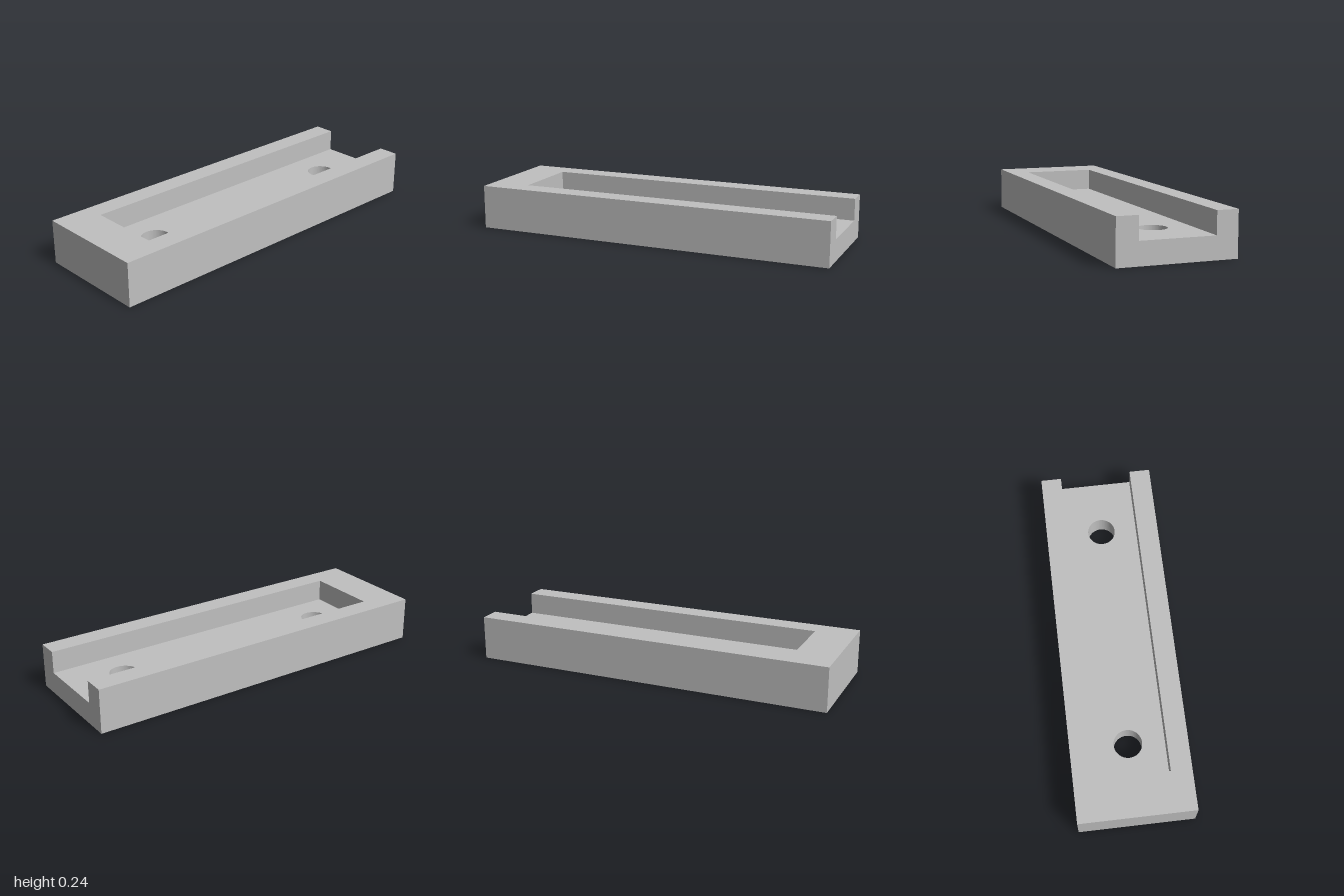
import * as THREE from 'three';

const HALF_L = 1, HALF_W = 0.314, HEIGHT = 0.242;
const FLOOR = 0.121, SLOT_HALF = 0.2, SLOT_END = -0.78;
const HOLE_X = [-0.58, 0.693], HOLE_R = 0.077;

// Extrudes a plan outline upward from height y
function slab(name, shape, y, height, material) {
  const geometry = new THREE.ExtrudeGeometry(shape, { depth: height, bevelEnabled: false, curveSegments: 32 });
  geometry.rotateX(-Math.PI / 2);
  geometry.translate(0, y, 0);
  const mesh = new THREE.Mesh(geometry, material);
  mesh.name = name;
  return mesh;
}

function outline(points) {
  return new THREE.Shape(points.map(([x, y]) => new THREE.Vector2(x, y)));
}

export function createModel() {
  const group = new THREE.Group();
  group.name = 'slottedMountingBlock';
  const grey = new THREE.MeshStandardMaterial({ color: 0xc0c0c0 });
  grey.name = 'light grey';

  // Floor plate with two through holes
  const floor = outline([[-HALF_L, -HALF_W], [HALF_L, -HALF_W], [HALF_L, HALF_W], [-HALF_L, HALF_W]]);
  for (const x of HOLE_X) {
    const hole = new THREE.Path();
    hole.absarc(x, 0, HOLE_R, 0, Math.PI * 2, true);
    floor.holes.push(hole);
  }
  group.add(slab('floorPlate', floor, 0, FLOOR, grey));

  // U-shaped rim, open at the +x end
  const rim = outline([
    [-HALF_L, -HALF_W], [HALF_L, -HALF_W], [HALF_L, -SLOT_HALF], [SLOT_END, -SLOT_HALF],
    [SLOT_END, SLOT_HALF], [HALF_L, SLOT_HALF], [HALF_L, HALF_W], [-HALF_L, HALF_W],
  ]);
  group.add(slab('slotRim', rim, FLOOR, HEIGHT - FLOOR, grey));

  return group;
}
